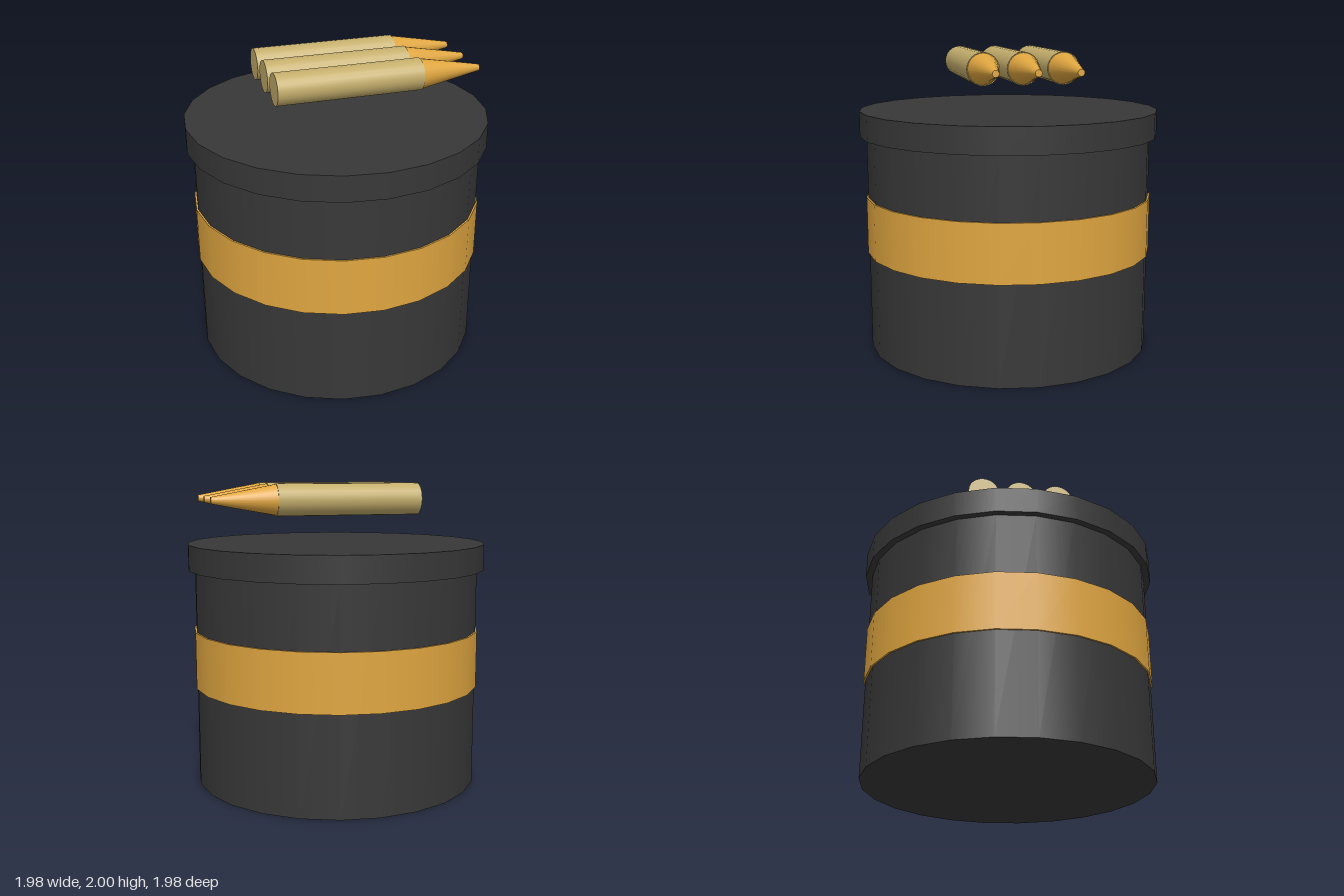
import * as THREE from 'three';

const mat = (name, color) => {
  const m = new THREE.MeshStandardMaterial({ color });
  m.name = name;
  return m;
};

export function createModel() {
  const black = mat('black', 0x383838);
  const gold = mat('gold', 0xe0a640);
  const brass = mat('brass', 0xc4ae6c);
  const SIDES = 24;

  // Upright cylinder between two heights
  const drum = (name, radius, y0, y1, material) => {
    const mesh = new THREE.Mesh(new THREE.CylinderGeometry(radius, radius, y1 - y0, SIDES), material);
    mesh.position.y = (y0 + y1) / 2;
    mesh.name = name;
    return mesh;
  };

  // Cylinder or cone lying along x, narrowing towards +x
  const rod = (name, rStart, rEnd, x0, x1, material) => {
    const geo = new THREE.CylinderGeometry(rEnd, rStart, x1 - x0, SIDES);
    geo.rotateZ(-Math.PI / 2);
    const mesh = new THREE.Mesh(geo, material);
    mesh.position.x = (x0 + x1) / 2;
    mesh.name = name;
    return mesh;
  };

  const model = new THREE.Group();
  model.name = 'ammoCanister';

  // Canister with overhanging lid and painted band
  model.add(
    drum('body', 0.946, 0, 1.435, black),
    drum('band', 0.957, 0.655, 1.032, gold),
    drum('lid', 0.99, 1.435, 1.604, black),
  );

  // Three cartridges floating above the lid
  for (const z of [-0.255, 0, 0.252]) {
    const cartridge = new THREE.Group();
    cartridge.name = 'cartridge';
    cartridge.add(
      rod('casing', 0.103, 0.103, -0.477, 0.472, brass),
      rod('tip', 0.098, 0.021, 0.472, 0.882, gold),
    );
    cartridge.position.set(0, 1.897, z);
    model.add(cartridge);
  }
  return model;
}
